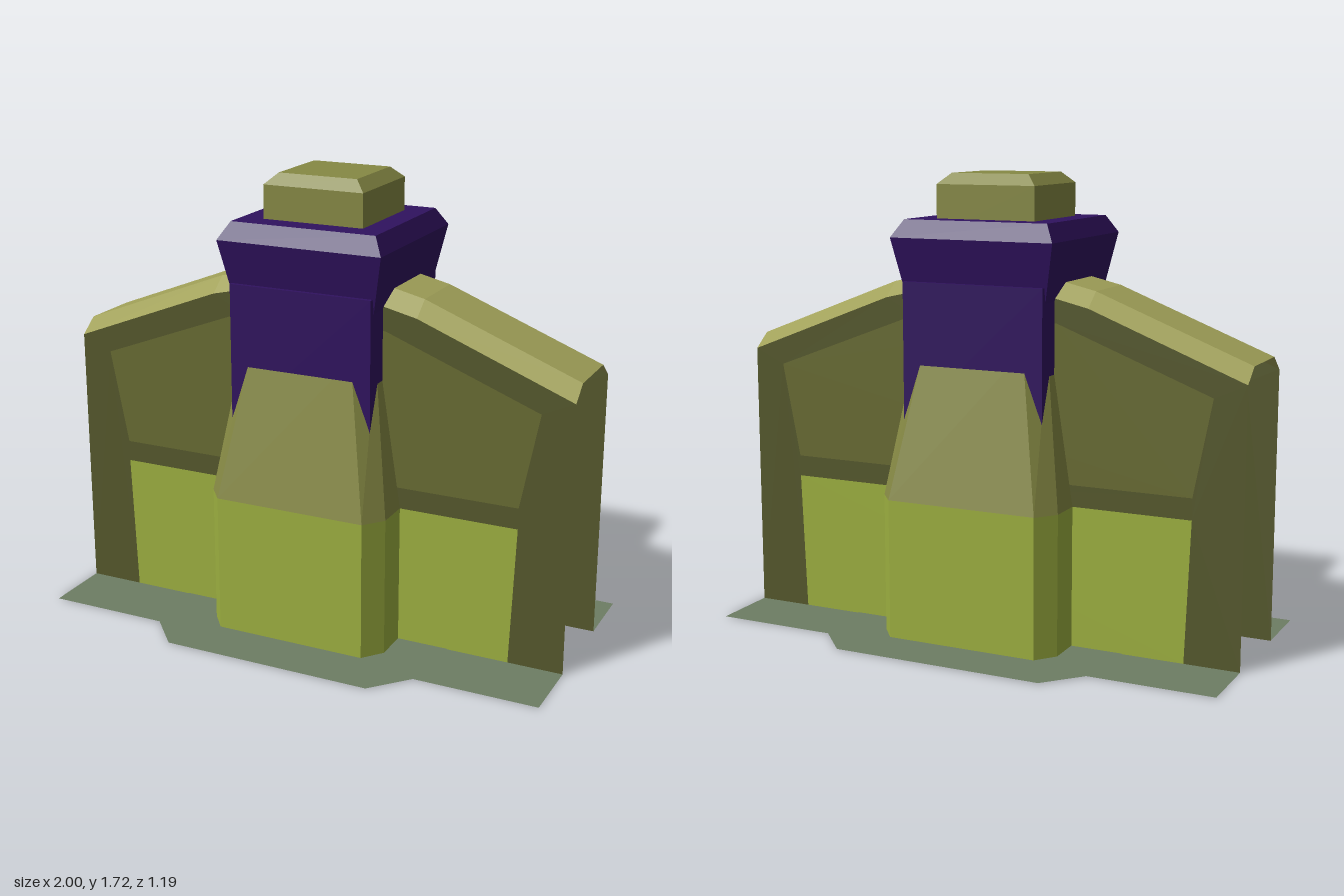
import * as THREE from 'three';

const material = (color) =>
  new THREE.MeshStandardMaterial({ color, side: THREE.DoubleSide, flatShading: true });
const LIME = material(0x9db040), OLIVE = material(0x868944), DARK = material(0x55582c),
  INLAY = material(0x686b32), RIDGE = material(0xa0a058), PURPLE = material(0x30125f), STONE = material(0x6d7d63);

// Rectangular and chamfered cross-sections, ordered from +x towards +z
const rect = (x, z, y) => [[x, y, -z], [x, y, z], [-x, y, z], [-x, y, -z]];
const octagon = (x, z, fx, fz, y) => [
  [x, y, -fz], [x, y, fz], [fx, y, z], [-fx, y, z],
  [-x, y, fz], [-x, y, -fz], [-fx, y, -z], [fx, y, -z],
];

// Skin between stacked cross-sections, optionally closed on top
function loft(rings, capTop = true) {
  const p = [], n = rings[0].length;
  for (let r = 0; r < rings.length - 1; r++) {
    const a = rings[r], b = rings[r + 1];
    for (let i = 0; i < n; i++) {
      const j = (i + 1) % n;
      p.push(...a[i], ...b[i], ...a[j], ...a[j], ...b[i], ...b[j]);
    }
  }
  const t = rings[rings.length - 1];
  if (capTop) for (let i = 1; i < n - 1; i++) p.push(...t[0], ...t[i + 1], ...t[i]);
  const g = new THREE.BufferGeometry();
  g.setAttribute('position', new THREE.Float32BufferAttribute(p, 3));
  g.computeVertexNormals();
  return g;
}

const path = (pts) => pts.map(([x, y]) => new THREE.Vector2(x, y));
// Mirror a half outline (given from right to centre) across x = 0
const mirrored = (half) => path([...half, ...half.map(([x, y]) => [-x, y]).reverse()]);

function flat(outline, hole) {
  const s = new THREE.Shape(outline);
  if (hole) s.holes.push(new THREE.Path(hole));
  return new THREE.ShapeGeometry(s);
}

export function createModel() {
  const model = new THREE.Group();
  const add = (name, geometry, mat, parent = model) => {
    const m = new THREE.Mesh(geometry, mat);
    m.name = name;
    parent.add(m);
    return m;
  };

  // Chamfered pillar: straight foot and tapering shaft
  const base = [0.355, 0.395, 0.295, 0.32];
  add('pillarFoot', loft([octagon(...base, 0), octagon(...base, 0.53)], false), LIME);
  add('pillarShaft', loft([octagon(...base, 0.53), octagon(0.266, 0.281, 0.198, 0.217, 1.1)]), OLIVE);

  // Square collar whose corners emerge from the shaft, with a flared head
  add('collar', loft([rect(0.28, 0.296, 0.8), rect(0.28, 0.296, 1.33)]), PURPLE);
  add('collarHead', loft([rect(0.275, 0.265, 1.25), rect(0.323, 0.31, 1.49), rect(0.285, 0.27, 1.555)]), PURPLE);
  add('cap', loft([rect(0.197, 0.183, 1.5), rect(0.197, 0.183, 1.68), rect(0.155, 0.143, 1.72)]), OLIVE);

  // Hollow wall: front and back faces with flat inlays
  const frame = mirrored([[0.79, 0], [1, 0], [1, 1.025], [0.41, 1.255], [0.28, 1.285]]);
  // Notch for the lower panel
  frame.push(...path([[-0.81, 0.53], [0.81, 0.53]]));
  const inlay = mirrored([[0.81, 0.61], [0.88, 0.97], [0.29, 1.195]]);
  const panel = mirrored([[0.79, 0], [0.81, 0.53]]);
  for (const side of [1, -1]) {
    const face = new THREE.Group();
    face.name = side > 0 ? 'frontWall' : 'backWall';
    add('wallFrame', flat(frame, inlay), DARK, face);
    add('wallInlay', flat(inlay), INLAY, face);
    add('wallPanel', flat(panel), LIME, face);
    face.position.z = 0.19;
    const turn = new THREE.Group();
    turn.name = face.name + 'Side';
    turn.rotation.y = side > 0 ? 0 : Math.PI;
    turn.add(face);
    model.add(turn);
  }

  // Coping with bevelled edges following the slope of the wall
  const section = [[0.19, -0.055], [0.12, 0], [-0.12, 0], [-0.19, -0.055]];
  const line = [[-1, 1.08], [-0.41, 1.31], [-0.28, 1.34], [0.28, 1.34], [0.41, 1.31], [1, 1.08]];
  const p = [];
  for (let i = 0; i < line.length - 1; i++) {
    for (let k = 0; k < 3; k++) {
      const at = ([x, y], [z, dy]) => [x, y + dy, z];
      const a = at(line[i], section[k]), b = at(line[i + 1], section[k]);
      const c = at(line[i + 1], section[k + 1]), d = at(line[i], section[k + 1]);
      p.push(...a, ...b, ...c, ...a, ...c, ...d);
    }
  }
  const coping = new THREE.BufferGeometry();
  coping.setAttribute('position', new THREE.Float32BufferAttribute(p, 3));
  coping.computeVertexNormals();
  add('coping', coping, RIDGE);

  // Thin ground strips along the wall
  for (const side of [1, -1]) {
    const strip = add('groundStrip', new THREE.PlaneGeometry(2, 0.265).rotateX(-Math.PI / 2), STONE);
    strip.position.set(0, 0.001, side * 0.3225);
  }
  // Chamfered ground plate around the pillar
  const outline = (...d) => path(octagon(...d, 0).map(([x, , z]) => [x, z]));
  const plate = flat(outline(0.555, 0.595, 0.405, 0.43), outline(...base)).rotateX(-Math.PI / 2);
  add('groundPlate', plate, STONE).position.y = 0.003;

  return model;
}
